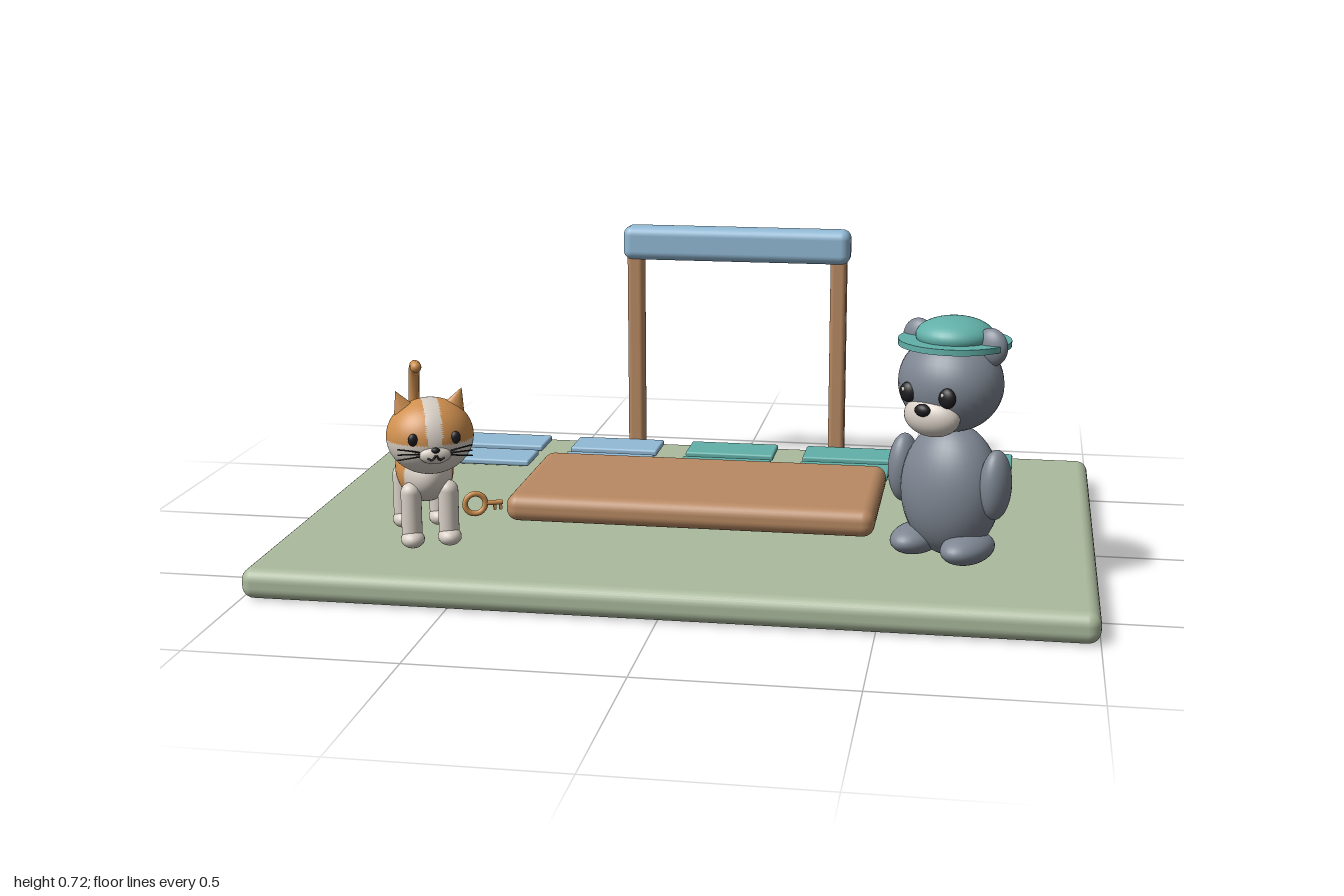
import * as THREE from 'three';
import { RoundedBoxGeometry } from 'three/addons/geometries/RoundedBoxGeometry.js';

const mat = (name, color) => {
  const m = new THREE.MeshStandardMaterial({ color });
  m.name = name;
  return m;
};

export function createModel() {
  const sage = mat('sage', 0xabba9d), wood = mat('wood', 0xb98a63), blue = mat('skyBlue', 0x92bad6);
  const teal = mat('teal', 0x62b0a9), grey = mat('greyFur', 0x7e8692), orange = mat('orangeFur', 0xd0904f);
  const cream = mat('cream', 0xd8cfc5), black = mat('black', 0x1d1d20);

  const group = (parent, name, x = 0, y = 0, z = 0, ry = 0) => {
    const g = new THREE.Group();
    g.name = name;
    g.position.set(x, y, z);
    g.rotation.y = ry;
    if (parent) parent.add(g);
    return g;
  };
  const add = (parent, name, geo, material, x = 0, y = 0, z = 0) => {
    const m = new THREE.Mesh(geo, material);
    m.name = name;
    m.position.set(x, y, z);
    parent.add(m);
    return m;
  };
  const box = (parent, name, material, w, h, d, r, x, y, z) =>
    add(parent, name, new RoundedBoxGeometry(w, h, d, 4, r), material, x, y, z);
  const blob = (parent, name, material, rx, ry, rz, x, y, z, seg = 32) =>
    add(parent, name, new THREE.SphereGeometry(1, seg, seg * 0.75).scale(rx, ry, rz), material, x, y, z);

  // Ellipsoid in two colours, chosen per face by a rule on the unit direction
  const patchedBlob = (parent, name, mats, rule, rx, ry, rz, x, y, z) => {
    const geo = new THREE.SphereGeometry(1, 80, 60);
    const idx = geo.index.array, p = geo.attributes.position, lists = [[], []];
    const c = new THREE.Vector3(), v = new THREE.Vector3();
    for (let i = 0; i < idx.length; i += 3) {
      c.set(0, 0, 0);
      for (let k = 0; k < 3; k++) c.add(v.fromBufferAttribute(p, idx[i + k]));
      c.divideScalar(3);
      lists[rule(c) ? 1 : 0].push(idx[i], idx[i + 1], idx[i + 2]);
    }
    geo.setIndex([...lists[0], ...lists[1]]);
    geo.addGroup(0, lists[0].length, 0);
    geo.addGroup(lists[0].length, lists[1].length, 1);
    geo.scale(rx, ry, rz);
    return add(parent, name, geo, mats, x, y, z);
  };
  const tube = (parent, name, material, pts, r, seg = 32) => {
    const curve = new THREE.CatmullRomCurve3(pts.map(q => new THREE.Vector3(...q)));
    return add(parent, name, new THREE.TubeGeometry(curve, seg, r, 10), material);
  };

  const model = group(null, 'playScene');

  // Ground slab and low wooden platform
  box(model, 'ground', sage, 2, 0.075, 1.33, 0.03, 0, 0.0375, 0);
  box(model, 'platform', wood, 0.93, 0.07, 0.455, 0.03, -0.003, 0.12, -0.003);

  // Gate: two posts and a beam
  for (const s of [-1, 1]) box(model, 'gatePost', wood, 0.045, 0.57, 0.055, 0.012, s * 0.29, 0.36, -0.628);
  box(model, 'gateBeam', blue, 0.645, 0.095, 0.08, 0.025, 0, 0.672, -0.625);

  // Two rows of floor tiles
  for (let i = 0; i < 5; i++)
    for (const z of [-0.545, -0.38])
      box(model, 'floorTile', i < 2 ? blue : teal, 0.25, 0.017, 0.124, 0.006, (i - 2) * 0.333, 0.0885, z);

  // Bear
  const bear = group(model, 'bear', 0.648, 0, 0.318, -0.52);
  blob(bear, 'bearBody', grey, 0.125, 0.162, 0.1, 0, 0.252, 0);
  blob(bear, 'bearHead', grey, 0.128, 0.116, 0.112, 0, 0.513, 0.012);
  blob(bear, 'bearSnout', cream, 0.072, 0.049, 0.045, 0, 0.447, 0.09);
  blob(bear, 'bearNose', black, 0.02, 0.015, 0.013, 0, 0.468, 0.132, 16);
  for (const s of [-1, 1]) {
    blob(bear, 'bearArm', grey, 0.035, 0.084, 0.045, s * 0.127, 0.285, 0.008);
    blob(bear, 'bearFoot', grey, 0.055, 0.037, 0.085, s * 0.07, 0.126, 0.03);
    blob(bear, 'bearEar', grey, 0.042, 0.045, 0.025, s * 0.098, 0.607, 0);
    blob(bear, 'bearEye', black, 0.022, 0.024, 0.014, s * 0.053, 0.5, 0.112, 16);
    blob(bear, 'bearEyeGlint', cream, 0.005, 0.005, 0.004, s * 0.053 - 0.006, 0.508, 0.124, 8);
  }
  add(bear, 'hatBrim', new THREE.CylinderGeometry(0.132, 0.132, 0.014, 48), teal, 0, 0.608, 0);
  blob(bear, 'hatCrown', teal, 0.092, 0.044, 0.092, 0, 0.624, 0);

  // Cat body, legs and tail
  const cat = group(model, 'cat', -0.64, 0, 0.33, 0.42);
  patchedBlob(cat, 'catBody', [orange, cream], c => c.z > 0.55 || c.y < -0.45, 0.07, 0.078, 0.125, 0, 0.25, 0);
  for (const s of [-1, 1])
    for (const z of [-0.085, 0.09]) {
      add(cat, 'catLeg', new THREE.CapsuleGeometry(0.025, 0.1, 8, 20), cream, s * 0.045, 0.165, z);
      blob(cat, 'catPaw', cream, 0.029, 0.022, 0.034, s * 0.045, 0.1, z + 0.008, 20);
    }
  tube(cat, 'catTail', orange, [[0, 0.25, -0.1], [0, 0.25, -0.145], [0, 0.34, -0.17],
    [0, 0.43, -0.16], [0, 0.478, -0.135], [0, 0.48, -0.11]], 0.014, 48);
  blob(cat, 'catTailTip', orange, 0.014, 0.014, 0.014, 0, 0.48, -0.11, 16);

  // Cat head: orange mask, cream muzzle and blaze
  const head = group(cat, 'catHead', 0, 0.367, 0.138);
  const [hx, hy, hz] = [0.104, 0.092, 0.095];
  const onFace = (x, y) => Math.sqrt(1 - (x / hx) ** 2 - (y / hy) ** 2) * hz;
  patchedBlob(head, 'catFace', [orange, cream], c => c.y < -0.02 || Math.abs(c.x) < 0.18, hx, hy, hz, 0, 0, 0);
  blob(head, 'catMuzzle', cream, 0.038, 0.022, 0.02, 0, -0.026, 0.085, 20);
  blob(head, 'catNose', black, 0.01, 0.007, 0.007, 0, -0.012, 0.1, 12);
  for (const s of [-1, 1]) {
    const ear = add(head, 'catEar', new THREE.ConeGeometry(0.034, 0.065, 24).scale(1, 1, 0.6), orange, s * 0.066, 0.083, 0);
    ear.rotation.z = -s * 0.4;
    blob(head, 'catEye', black, 0.012, 0.015, 0.008, s * 0.05, 0.012, onFace(0.05, 0.012), 16);
    tube(head, 'catMouth', black, [[0, -0.022, 0.106], [s * 0.009, -0.034, 0.104], [s * 0.02, -0.03, 0.101]], 0.0025, 12);
    for (const k of [-1, 0, 1])
      tube(head, 'catWhisker', black, [[s * 0.036, -0.022 + k * 0.005, 0.092],
        [s * 0.06, -0.02 + k * 0.009, 0.093], [s * 0.088, -0.02 + k * 0.013, 0.088]], 0.0018, 8);
  }

  // Little key beside the front paw
  const key = group(cat, 'key', 0.108, 0.18, 0.108);
  add(key, 'keyRing', new THREE.TorusGeometry(0.025, 0.007, 10, 28), orange);
  add(key, 'keyShaft', new THREE.CylinderGeometry(0.006, 0.006, 0.042, 12).rotateZ(Math.PI / 2), orange, 0.046, 0, 0);
  for (const x of [0.048, 0.062])
    add(key, 'keyTooth', new THREE.BoxGeometry(0.007, 0.018, 0.008), orange, x, -0.009, 0);

  return model;
}
